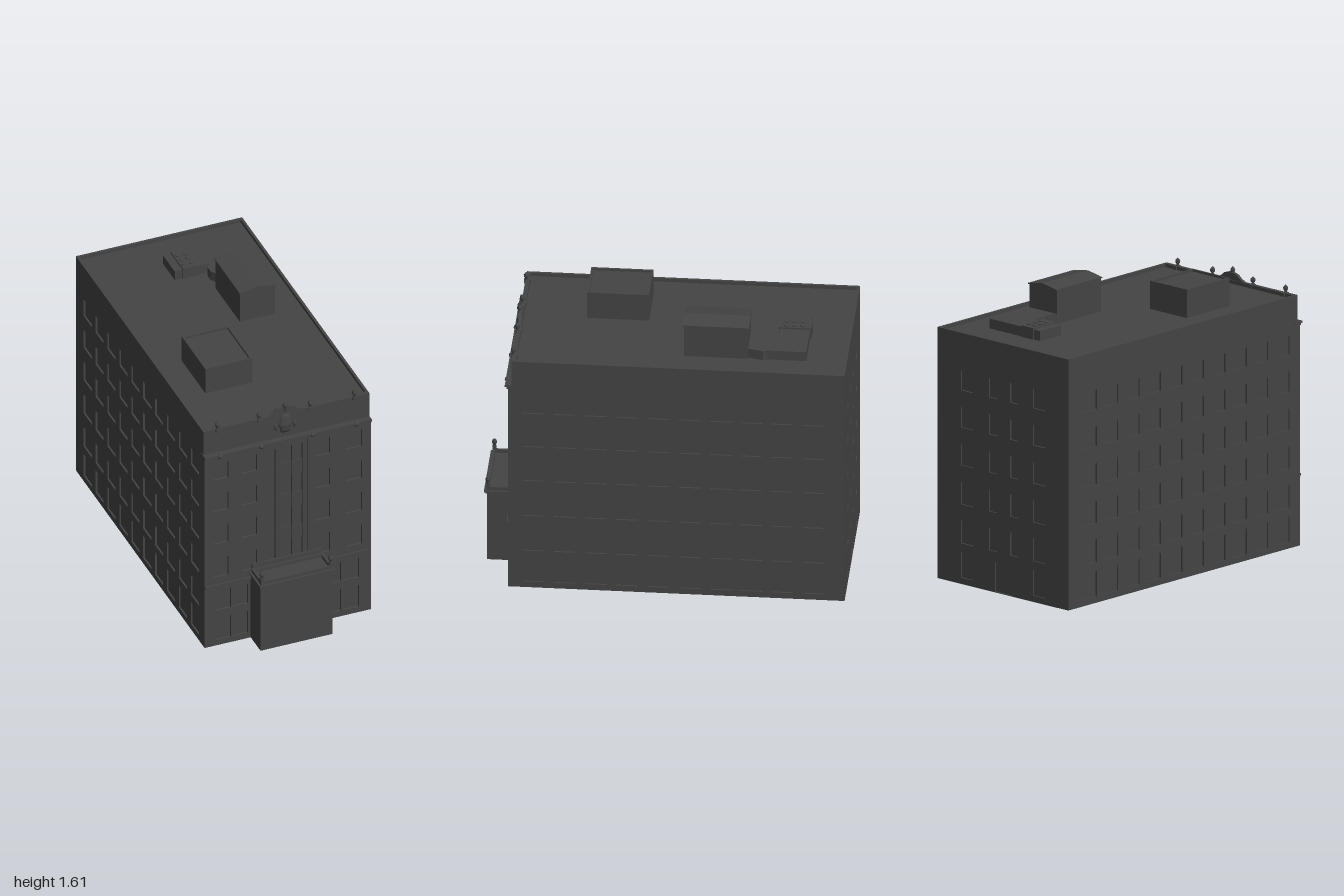
import * as THREE from 'three';

const stone = new THREE.MeshStandardMaterial({ color: 0x444444 });
stone.name = 'charcoal';

function add(parent, name, geometry, x = 0, y = 0, z = 0) {
  const mesh = new THREE.Mesh(geometry, stone);
  mesh.name = name;
  mesh.position.set(x, y, z);
  parent.add(mesh);
  return mesh;
}

// Box given by its limits on each axis
function box(parent, name, x0, x1, y0, y1, z0, z1) {
  return add(parent, name, new THREE.BoxGeometry(x1 - x0, y1 - y0, z1 - z0),
    (x0 + x1) / 2, (y0 + y1) / 2, (z0 + z1) / 2);
}

const rect = (P, x0, x1, y0, y1) => {
  const p = new P();
  p.moveTo(x0, y0); p.lineTo(x1, y0); p.lineTo(x1, y1); p.lineTo(x0, y1); p.closePath();
  return p;
};

const extrude = (shape, depth) =>
  new THREE.ExtrudeGeometry(shape, { depth, bevelEnabled: false, curveSegments: 8 });

// Wall with its outer face on local z = 0; holes are [x0, x1, y0, y1]
function wall(parent, name, [x0, x1, y0, y1], holes, depth, recess, panes = true) {
  const g = new THREE.Group();
  g.name = name;
  const shape = rect(THREE.Shape, x0, x1, y0, y1);
  holes.forEach(h => shape.holes.push(rect(THREE.Path, ...h)));
  add(g, name + 'Face', extrude(shape, depth), 0, 0, -depth);
  if (panes) holes.forEach(h => box(g, 'windowPane', ...h, -recess - 0.008, -recess));
  parent.add(g);
  return g;
}

// Rectangular rim lying on a roof
function rim(parent, name, x0, x1, z0, z1, y0, y1, t) {
  const shape = rect(THREE.Shape, x0, x1, -z1, -z0);
  shape.holes.push(rect(THREE.Path, x0 + t, x1 - t, -z1 + t, -z0 - t));
  add(parent, name, extrude(shape, y1 - y0), 0, y0, 0).rotation.x = -Math.PI / 2;
}

const lathe = (pts, n = 10) => new THREE.LatheGeometry(pts.map(p => new THREE.Vector2(...p)), n);

// Small urn on a foot, 0.05 tall
function finial(parent, x, y, z, s = 1) {
  const f = add(parent, 'finial', lathe([[0, 0], [0.01, 0], [0.01, 0.007], [0.006, 0.012],
    [0.013, 0.022], [0.014, 0.033], [0.007, 0.043], [0, 0.05]]), x, y, z);
  f.scale.setScalar(s);
}

const floors = [[0.035, 0.18], [0.23, 0.36], [0.45, 0.575], [0.67, 0.79], [0.885, 1.0], [1.095, 1.205]];
const grid = (cols, rows) => cols.flatMap(c => rows.map(r => [...c, ...r]));

export function createModel() {
  const model = new THREE.Group();
  model.name = 'building';

  // Side walls, ten windows on each of six floors
  for (const s of [1, -1]) {
    const cols = Array.from({ length: 10 }, (_, i) => {
      const c = s * (-0.703 + 0.1705 * i);
      return [c - 0.058, c + 0.058];
    });
    const span = s > 0 ? [-0.8, 1] : [-1, 0.8];
    const w = wall(model, 'sideWall', [...span, 0, 1.42], grid(cols, floors), 0.015, 0.01);
    w.rotation.y = s * Math.PI / 2;
    w.position.x = s * 0.49;
  }

  // Back wall with a small door in the middle
  const backHoles = [
    ...grid([[-0.315, -0.225], [0.225, 0.315]], floors),
    ...grid([[-0.105, -0.045], [0.055, 0.115]], floors.slice(1)),
    [-0.06, 0.07, 0.003, 0.17],
  ];
  const back = wall(model, 'backWall', [-0.475, 0.475, 0, 1.42], backHoles, 0.015, 0.01);
  back.rotation.y = Math.PI;
  back.position.z = -1;

  // Roof
  box(model, 'roof', -0.475, 0.475, 1.385, 1.4, -0.985, 0.8);

  // Front wall with a tall recessed centre bay
  const frontCols = [[-0.44, -0.35], [-0.27, -0.18], [0.16, 0.25], [0.345, 0.437]];
  const groundCols = [[-0.425, -0.335], [-0.325, -0.235], [0.225, 0.315], [0.325, 0.42]];
  const front = wall(model, 'frontWall', [-0.49, 0.49, 0, 1.25],
    [...grid(frontCols, floors.slice(2)), ...grid(groundCols, floors.slice(0, 2))], 0.042, 0.014);
  front.position.z = 0.842;
  front.remove(front.getObjectByName('frontWallFace'));
  const face = rect(THREE.Shape, -0.49, 0.49, 0, 1.25);
  [...grid(frontCols, floors.slice(2)), ...grid(groundCols, floors.slice(0, 2)), [-0.137, 0.118, 0.44, 1.24]]
    .forEach(h => face.holes.push(rect(THREE.Path, ...h)));
  add(front, 'frontWallFace', extrude(face, 0.042), 0, 0, -0.042);

  // Centre bay: three window strips divided by spandrels
  const strips = [[-0.108, -0.07], [-0.043, 0.03], [0.055, 0.09]];
  const bay = wall(model, 'centreBay', [-0.137, 0.118, 0.44, 1.24],
    strips.map(s => [...s, 0.45, 1.205]), 0.018, 0.014);
  bay.position.z = 0.834;
  for (const s of strips)
    for (const y of [[0.575, 0.67], [0.79, 0.885], [1.0, 1.095]])
      box(bay, 'spandrel', ...s, ...y, -0.016, -0.008);

  // Attic wall, cornice and belt course
  box(model, 'atticWall', -0.49, 0.49, 1.25, 1.42, 0.8, 0.824);
  box(model, 'cornice', -0.494, 0.49, 1.257, 1.268, 0.8, 0.86);
  box(model, 'corniceLower', -0.49, 0.49, 1.245, 1.257, 0.81, 0.851);
  box(model, 'beltCourse', -0.49, 0.486, 0.398, 0.406, 0.82, 0.852);
  box(model, 'beltCourseLower', -0.49, 0.486, 0.388, 0.398, 0.82, 0.847);

  // Finials on the parapet, with bosses on the cornice below
  for (const x of [-0.405, -0.16, 0.142, 0.403]) {
    finial(model, x, 1.415, 0.82);
    add(model, 'corniceBoss', new THREE.SphereGeometry(0.015, 10, 8), x, 1.257, 0.853);
    box(model, 'finialBlock', x - 0.012, x + 0.012, 1.4, 1.42, 0.795, 0.832);
  }

  // Curved pediment and its finial
  const ped = new THREE.Shape();
  ped.moveTo(-0.13, 1.415);
  ped.quadraticCurveTo(-0.08, 1.425, -0.055, 1.452);
  ped.quadraticCurveTo(-0.007, 1.472, 0.041, 1.452);
  ped.quadraticCurveTo(0.066, 1.425, 0.116, 1.415);
  add(model, 'pediment', extrude(ped, 0.018), 0, 0, 0.804);
  finial(model, -0.007, 1.442, 0.822, 1.0);

  // Bell-shaped wall ornament between two drops
  const bell = add(model, 'wallOrnament', lathe([[0, 0], [0.026, 0], [0.032, 0.015], [0.034, 0.035],
    [0.043, 0.045], [0.04, 0.06], [0.032, 0.075], [0.03, 0.1], [0.018, 0.112], [0, 0.115]], 14), -0.007, 1.3, 0.822);
  bell.scale.z = 0.45;
  for (const s of [-1, 1]) {
    const d = add(model, 'ornamentDrop', lathe([[0, 0], [0.008, 0.01], [0.012, 0.03], [0.006, 0.045], [0, 0.048]], 8),
      -0.007 + s * 0.055, 1.315, 0.826);
    d.scale.z = 0.7;
  }

  // Entrance porch, open underneath
  const porch = new THREE.Group();
  porch.name = 'entrancePorch';
  model.add(porch);
  box(porch, 'porchFront', -0.218, 0.208, 0, 0.42, 0.968, 0.982);
  for (const x of [-0.218, 0.194]) box(porch, 'porchSide', x, x + 0.014, 0, 0.42, 0.842, 0.968);
  box(porch, 'porchRoof', -0.204, 0.194, 0.405, 0.42, 0.842, 0.968);
  box(porch, 'porchCornice', -0.228, 0.218, 0.426, 0.435, 0.842, 0.998);
  box(porch, 'porchCorniceLower', -0.223, 0.213, 0.417, 0.426, 0.842, 0.99);
  rim(porch, 'porchParapet', -0.215, 0.205, 0.845, 0.985, 0.435, 0.455, 0.014);
  box(porch, 'porchBackPanel', -0.21, 0.2, 0.435, 0.483, 0.836, 0.848);
  for (const x of [-0.208, 0.198]) {
    box(porch, 'porchPost', x - 0.01, x + 0.01, 0.435, 0.475, 0.967, 0.987);
    finial(porch, x, 0.472, 0.977);
  }

  // Rooftop room with a rim
  box(model, 'roofRoom', -0.327, -0.05, 1.4, 1.548, 0.117, 0.457);
  rim(model, 'roofRoomRim', -0.327, -0.05, 0.117, 0.457, 1.548, 1.56, 0.012);

  // Stair house with a shallow gable
  box(model, 'stairHouse', 0.108, 0.314, 1.4, 1.59, -0.455, -0.105);
  const gable = new THREE.Shape();
  [[0.104, 1.588], [0.318, 1.588], [0.318, 1.594], [0.211, 1.612], [0.104, 1.594]]
    .forEach((p, i) => i ? gable.lineTo(...p) : gable.moveTo(...p));
  add(model, 'stairHouseRoof', extrude(gable, 0.364), 0, 0, -0.462);

  // Duct with bent neck, joined to the stair house
  const duct = new THREE.Shape();
  [[-0.068, 0.61], [0.135, 0.61], [0.113, 0.58], [0.113, 0.54], [0.132, 0.505], [0.108, 0.455],
    [0.3, 0.455], [0.322, 0.54], [0.312, 0.56], [0.312, 0.775], [-0.068, 0.775]]
    .forEach((p, i) => i ? duct.lineTo(...p) : duct.moveTo(...p));
  add(model, 'roofDuct', extrude(duct, 0.056), 0, 1.4, 0).rotation.x = -Math.PI / 2;

  // Cooling unit with six fans
  box(model, 'coolingUnit', -0.022, 0.07, 1.4, 1.465, -0.783, -0.605);
  for (const x of [0.003, 0.045])
    for (const z of [-0.735, -0.69, -0.645])
      add(model, 'fan', new THREE.CylinderGeometry(0.017, 0.017, 0.006, 12), x, 1.467, z);

  return model;
}
